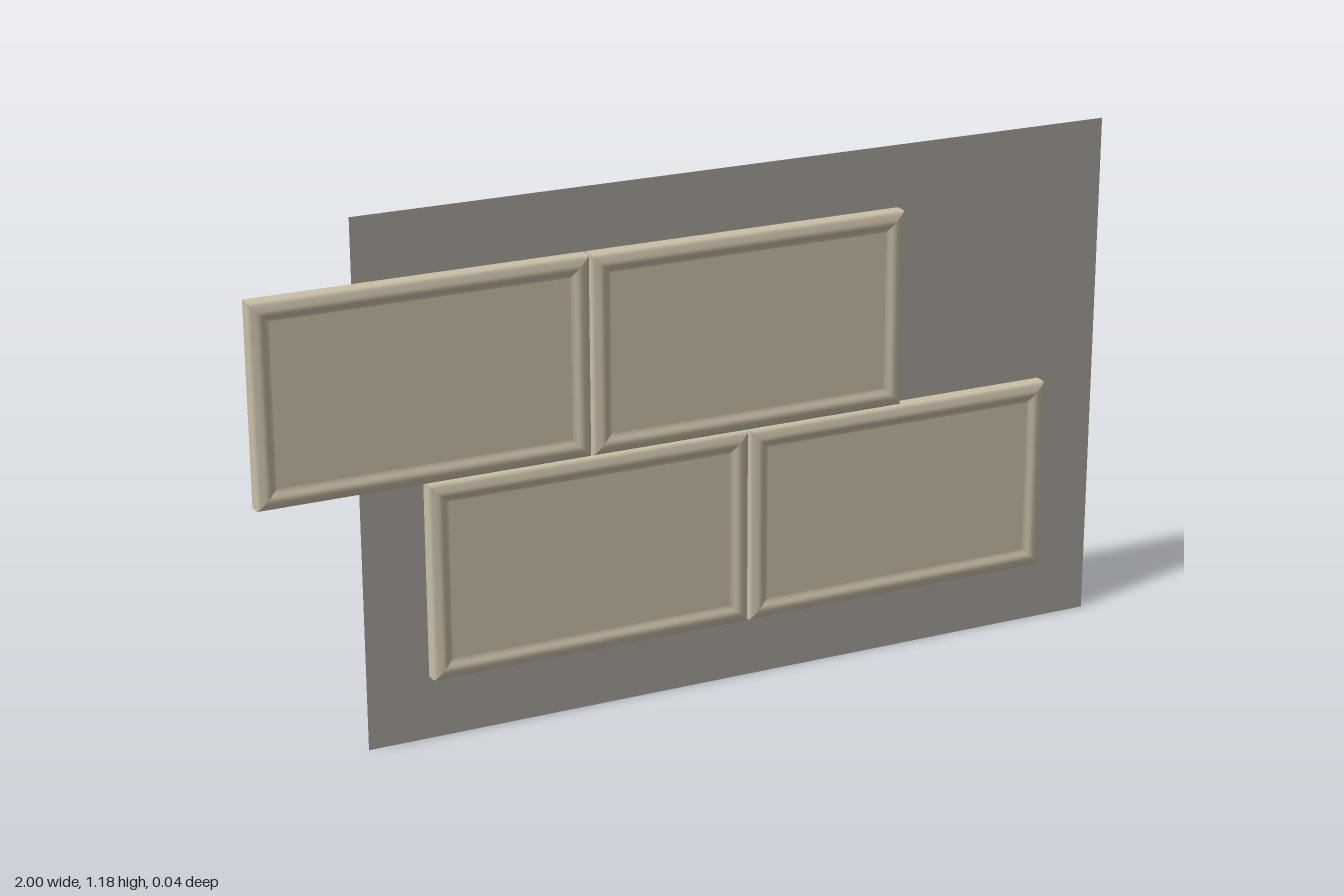
import * as THREE from 'three';

const W = 0.741, H = 0.444;          // tile size
const BACK = -0.018, WALL = 0.009, PANEL = 0.012;

// Rim cross-section: [inset from the tile edge, z]
const RIM = [
  [0, WALL], [0.002, 0.0125], [0.006, 0.0145], [0.012, 0.016], [0.018, 0.0175],
  [0.023, 0.018], [0.028, 0.0172], [0.033, 0.015], [0.038, 0.0128], [0.043, PANEL],
];

// Four mitred strips sweeping the rim profile around the tile
function rimGeometry() {
  const corners = [[-1, -1], [1, -1], [1, 1], [-1, 1]];
  const pos = [], index = [];
  for (let side = 0; side < 4; side++) {
    const start = pos.length / 3;
    RIM.forEach(([inset, z], i) => {
      for (const [sx, sy] of [corners[side], corners[(side + 1) % 4]]) {
        pos.push(sx * (W / 2 - inset), sy * (H / 2 - inset), z);
      }
      if (i > 0) {
        const a = start + (i - 1) * 2, b = a + 1, c = a + 2, d = a + 3;
        index.push(a, b, d, a, d, c);
      }
    });
  }
  const g = new THREE.BufferGeometry();
  g.setAttribute('position', new THREE.Float32BufferAttribute(pos, 3));
  g.setIndex(index);
  g.computeVertexNormals();
  return g;
}

export function createModel() {
  const ceramic = new THREE.MeshStandardMaterial({ color: 0xcabfa8 });
  ceramic.name = 'beige ceramic';
  const grout = new THREE.MeshStandardMaterial({ color: 0xa39f99, side: THREE.DoubleSide });
  grout.name = 'grey grout';

  const group = new THREE.Group();
  group.name = 'tileSample';
  const add = (parent, name, geometry, material, x, y, z) => {
    const mesh = new THREE.Mesh(geometry, material);
    mesh.name = name;
    mesh.position.set(x, y, z);
    parent.add(mesh);
  };

  // Backing sheet, flush with the backs of the tiles
  add(group, 'backingSheet', new THREE.PlaneGeometry(1.77, 1.177), grout, 0.115, 0.5885, BACK - 0.0005);

  // Two staggered rows of framed tiles
  const body = new THREE.BoxGeometry(W, H, WALL - BACK);
  const rim = rimGeometry();
  const inset = RIM[RIM.length - 1][0];
  const panel = new THREE.PlaneGeometry(W - 2 * inset, H - 2 * inset);
  const rows = [{ name: 'upper', x: -1, y: 0.815 }, { name: 'lower', x: -0.629, y: 0.367 }];
  for (const row of rows) {
    for (let i = 0; i < 2; i++) {
      const tile = new THREE.Group();
      tile.name = row.name + (i ? 'LeftTile' : 'RightTile');
      tile.position.set(row.x + W / 2 + i * (W + 0.004), row.y, 0);
      add(tile, 'tileBody', body, ceramic, 0, 0, (WALL + BACK) / 2);
      add(tile, 'raisedRim', rim, ceramic, 0, 0, 0);
      add(tile, 'facePanel', panel, ceramic, 0, 0, PANEL);
      group.add(tile);
    }
  }
  return group;
}
